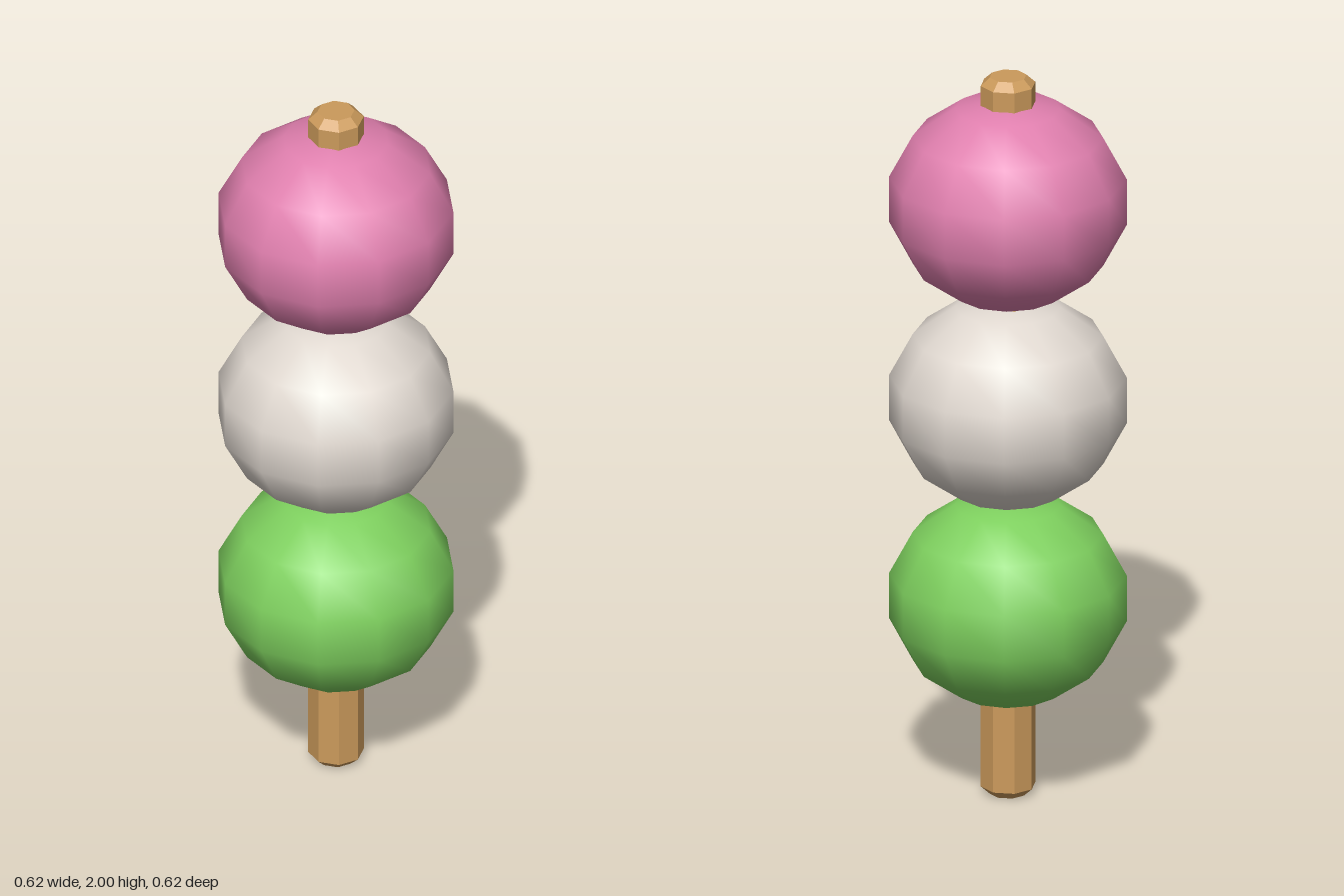
import * as THREE from 'three';

const mat = (name, color, flatShading = false) => {
  const m = new THREE.MeshStandardMaterial({ color, flatShading });
  m.name = name;
  return m;
};

export function createModel() {
  const group = new THREE.Group();
  group.name = 'dumplingSkewer';

  // Octagonal wooden stick with chamfered ends
  const profile = [[0, 0], [0.049, 0], [0.073, 0.022], [0.073, 1.978], [0.049, 2], [0, 2]]
    .map(([r, y]) => new THREE.Vector2(r, y));
  const stick = new THREE.Mesh(new THREE.LatheGeometry(profile, 8), mat('wood', 0xcb9a5b, true));
  stick.name = 'stick';
  group.add(stick);

  // Three slightly squashed dumplings, smooth shaded
  const ball = new THREE.SphereGeometry(1, 12, 7);
  ball.scale(0.318, 0.286, 0.318);
  const dumplings = [
    ['bottomDumpling', 'green', 0x7ed05e, 0.545],
    ['middleDumpling', 'cream', 0xe0d8d0, 1.098],
    ['topDumpling', 'pink', 0xe07fae, 1.652],
  ];
  for (const [name, colorName, color, y] of dumplings) {
    const mesh = new THREE.Mesh(ball, mat(colorName, color));
    mesh.name = name;
    mesh.position.y = y;
    group.add(mesh);
  }
  return group;
}
